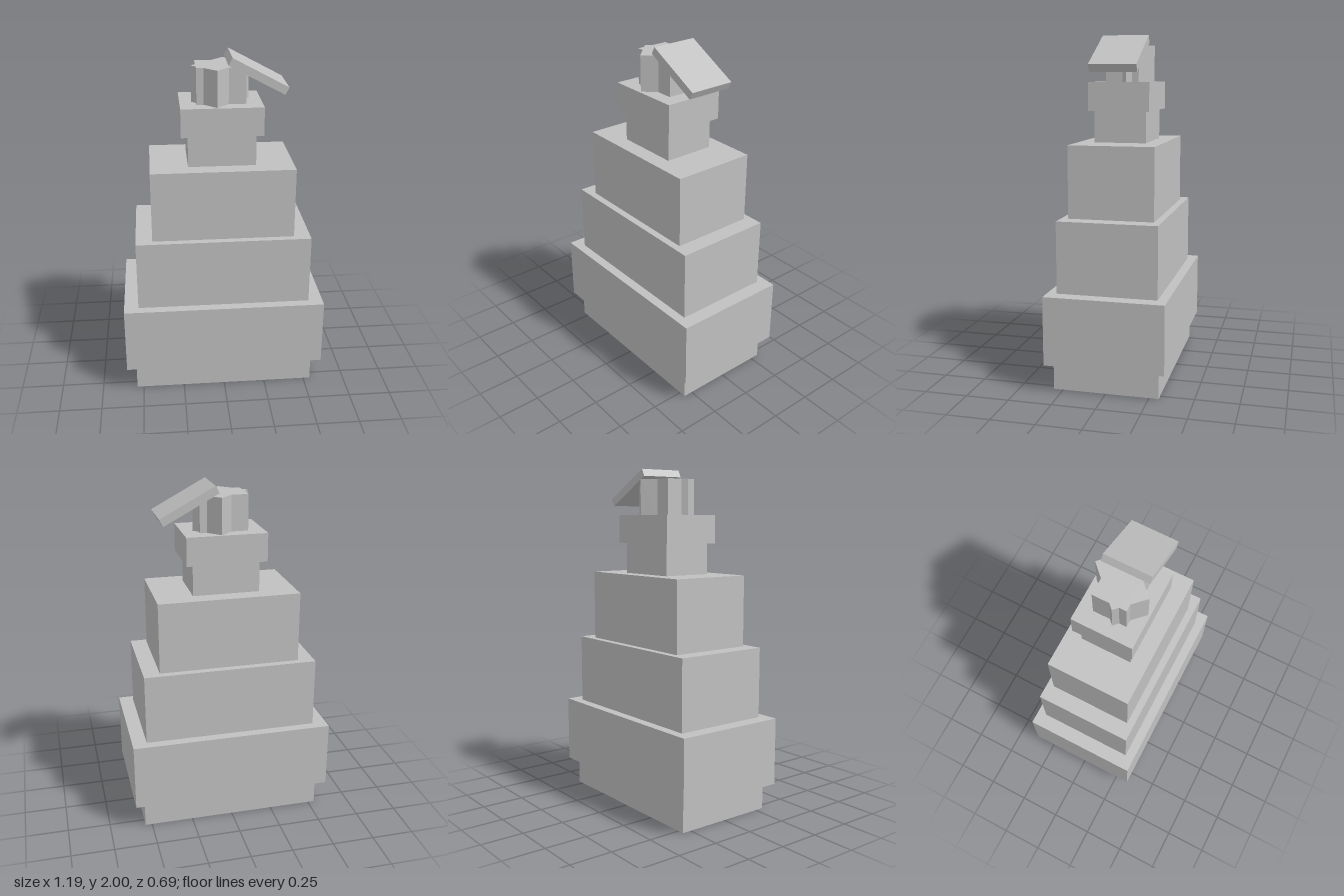
import * as THREE from 'three';

export function createModel() {
  const group = new THREE.Group();
  const stone = new THREE.MeshStandardMaterial({ color: 0xc0c0c0 });
  stone.name = 'plainGrey';

  const add = (name, geometry) => {
    const mesh = new THREE.Mesh(geometry, stone);
    mesh.name = name;
    group.add(mesh);
    return mesh;
  };

  // Stacked tiers: name, half width, half depth, bottom, top
  const tiers = [
    ['plinth', 0.54, 0.305, 0, 0.158],
    ['lowerTier', 0.596, 0.346, 0.158, 0.556],
    ['middleTier', 0.511, 0.29, 0.556, 0.97],
    ['upperTier', 0.414, 0.248, 0.97, 1.386],
    ['neck', 0.195, 0.152, 1.386, 1.568],
    ['collar', 0.234, 0.179, 1.568, 1.733],
  ];
  for (const [name, w, d, y0, y1] of tiers) {
    add(name, new THREE.BoxGeometry(2 * w, y1 - y0, 2 * d)).position.y = (y0 + y1) / 2;
  }

  // Crown: outline of two crossed rectangles, 45 degrees apart (half outline, then turned 180 degrees)
  const half = [
    [-0.14, 0.097], [-0.14, 0.056], [-0.167, 0.029], [-0.14, 0.002],
    [-0.14, -0.097], [-0.041, -0.097], [0.029, -0.167], [0.099, -0.097],
  ];
  const outline = [...half, ...half.map(([x, z]) => [-x, -z])];
  const shape = new THREE.Shape(outline.map(([x, z]) => new THREE.Vector2(x, -z)));
  const crown = new THREE.ExtrudeGeometry(shape, { depth: 0.207, bevelEnabled: false });
  crown.rotateX(-Math.PI / 2);
  add('crown', crown).position.y = 1.733;

  // Tilted lid resting on the crown
  const lid = add('lid', new THREE.BoxGeometry(0.36, 0.047, 0.274));
  lid.position.set(0.205, 1.895, 0);
  lid.rotation.z = -0.49;

  return group;
}
